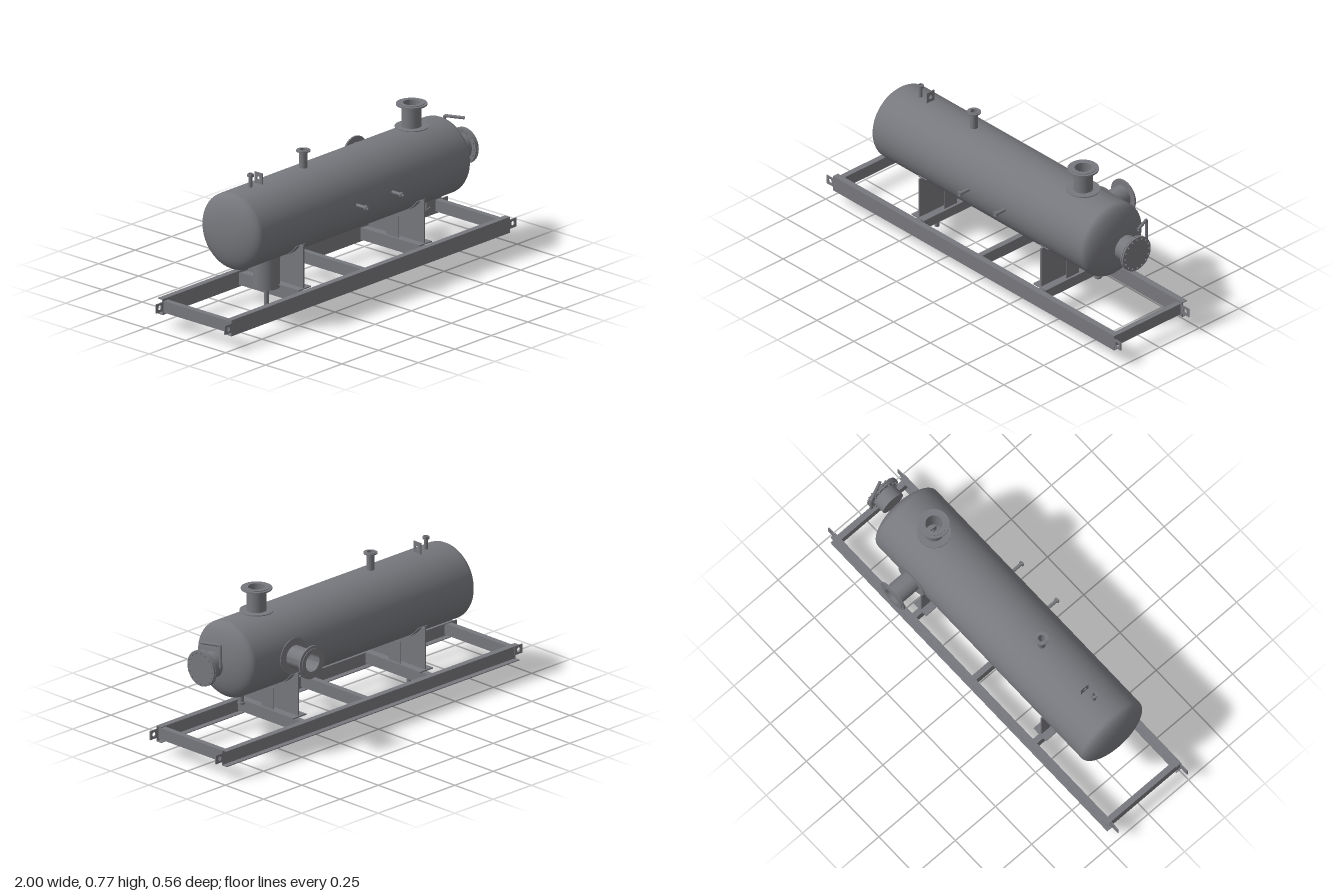
import * as THREE from 'three';
import { toCreasedNormals } from 'three/addons/utils/BufferGeometryUtils.js';

const AXIS_Y = 0.467, AXIS_Z = 0.032, R = 0.186;

export function createModel() {
  const root = new THREE.Group();
  root.name = 'separatorSkid';
  const steel = new THREE.MeshStandardMaterial({ color: 0x77787d, side: THREE.DoubleSide });
  steel.name = 'steelGrey';

  const add = (name, geo, x = 0, y = 0, z = 0, parent = root) => {
    const mesh = new THREE.Mesh(geo, steel);
    mesh.name = name;
    mesh.position.set(x, y, z);
    parent.add(mesh);
    return mesh;
  };
  const box = (name, w, h, d, x, y, z) => add(name, new THREE.BoxGeometry(w, h, d), x, y, z);
  const lathe = (pts, seg = 40) => toCreasedNormals(
    new THREE.LatheGeometry(pts.map(p => new THREE.Vector2(...p)), seg), 0.6);
  const UP = new THREE.Vector3(0, 1, 0);
  const aim = (mesh, dir) => mesh.quaternion.setFromUnitVectors(UP, new THREE.Vector3(...dir));
  const extrude = (shape, depth) =>
    new THREE.ExtrudeGeometry(shape, { depth, bevelEnabled: false, curveSegments: 24 });

  // Open flanged pipe, starting at pos and pointing along dir
  const nozzle = (name, pos, dir, r, len, fr, ft) => {
    const b = r * 0.86, lip = Math.min(0.003, ft * 0.3);
    const pts = [[r, 0], [r, len - ft], [fr, len - ft], [fr, len - lip],
      [(r + fr) / 2, len - lip], [(r + fr) / 2, len], [b, len], [b, 0]];
    aim(add(name, lathe(pts), ...pos), dir);
  };
  // Thin flat reinforcing ring around a pipe
  const collar = (name, pos, dir, inner, outer) =>
    aim(add(name, lathe([[inner, 0], [outer, 0], [outer, 0.004], [inner, 0.004], [inner, 0]], 48), ...pos), dir);

  // Vessel: straight shell with dished ends
  const profile = [];
  for (let i = 0; i <= 12; i++) {
    const a = (i / 12) * Math.PI / 2;
    profile.push([R * Math.sin(a), -0.705 - 0.068 * Math.cos(a)]);
  }
  for (let i = 12; i >= 0; i--) {
    const a = (i / 12) * Math.PI / 2;
    profile.push([R * Math.sin(a), 0.7 + 0.068 * Math.cos(a)]);
  }
  aim(add('vesselShell', lathe(profile, 72), 0, AXIS_Y, AXIS_Z), [1, 0, 0]);

  // Large nozzles on top and back with their collars
  nozzle('topNozzle', [0.515, 0.64, AXIS_Z], [0, 1, 0], 0.046, 0.133, 0.073, 0.01);
  collar('topCollar', [0.515, 0.655, AXIS_Z], [0, 1, 0], 0.046, 0.079);
  nozzle('backNozzle', [0.46, AXIS_Y, -0.14], [0, 0, -1], 0.052, 0.14, 0.081, 0.011);
  collar('backCollar', [0.46, AXIS_Y, -0.156], [0, 0, -1], 0.052, 0.088);

  // Small nozzles
  nozzle('ventNozzle', [-0.228, 0.645, AXIS_Z], [0, 1, 0], 0.019, 0.096, 0.033, 0.009);
  nozzle('gaugeNozzle', [-0.59, 0.645, AXIS_Z], [0, 1, 0], 0.009, 0.073, 0.016, 0.014);
  for (const x of [-0.063, 0.18])
    nozzle('sideNozzle', [x, AXIS_Y, 0.21], [0, 0, 1], 0.008, 0.072, 0.013, 0.012);
  nozzle('drainNozzle', [0.615, 0.29, AXIS_Z], [0, -1, 0], 0.012, 0.072, 0.018, 0.012);

  // Sump with base cap and drain pipe
  add('sump', new THREE.CylinderGeometry(0.0625, 0.0625, 0.175, 40), -0.48, 0.2225, AXIS_Z);
  add('sumpDrain', new THREE.CylinderGeometry(0.0115, 0.0115, 0.14, 20), -0.48, 0.07, AXIS_Z);

  // Manway neck, flange pair and ring of bolts
  const disc = (name, r, x0, x1) =>
    aim(add(name, new THREE.CylinderGeometry(r, r, x1 - x0, 48), (x0 + x1) / 2, AXIS_Y, AXIS_Z), [1, 0, 0]);
  disc('manwayNeck', 0.062, 0.797, 0.865);
  disc('manwayFlange', 0.087, 0.86, 0.869);
  disc('manwayCover', 0.087, 0.871, 0.88);
  for (let i = 0; i < 16; i++) {
    const a = (i / 16) * Math.PI * 2;
    aim(add('manwayBolt', new THREE.CylinderGeometry(0.0045, 0.0045, 0.034, 8), 0.87,
      AXIS_Y + 0.076 * Math.cos(a), AXIS_Z + 0.076 * Math.sin(a)), [1, 0, 0]);
  }

  // Davit arm that carries the cover
  const armPts = [[0.843, 0.487, -0.062], [0.843, 0.598, -0.062], [0.882, 0.598, 0.028]]
    .map(p => new THREE.Vector3(...p));
  const arm = new THREE.CurvePath();
  arm.add(new THREE.LineCurve3(armPts[0], armPts[1].clone().lerp(armPts[0], 0.08)));
  arm.add(new THREE.QuadraticBezierCurve3(armPts[1].clone().lerp(armPts[0], 0.08), armPts[1],
    armPts[1].clone().lerp(armPts[2], 0.08)));
  arm.add(new THREE.LineCurve3(armPts[1].clone().lerp(armPts[2], 0.08), armPts[2]));
  add('davitArm', new THREE.TubeGeometry(arm, 60, 0.0075, 12));

  // Rectangular plate with a round hole
  const lugPlate = (w, h, hole) => {
    const s = new THREE.Shape([[-w, -h], [w, -h], [w, h], [-w, h]].map(p => new THREE.Vector2(...p)));
    s.holes.push(new THREE.Path().absarc(0, 0, hole, 0, Math.PI * 2, true));
    return extrude(s, 0.005);
  };
  // Lifting lugs on top of the vessel
  for (const x of [-0.532, 0.518])
    add('liftingLug', lugPlate(0.024, 0.029, 0.01), x, 0.677, 0.027).rotation.y = Math.PI / 2;

  // Saddles: cradle web, stiffening plates, base and wear pad
  const cradle = new THREE.Shape();
  cradle.moveTo(-0.173, -0.315);
  cradle.lineTo(0.173, -0.315);
  cradle.lineTo(0.173, -0.11);
  cradle.absarc(0, 0, 0.187, -0.629, -Math.PI + 0.629, true);
  cradle.lineTo(-0.173, -0.11);
  for (const x of [-0.415, 0.413]) {
    add('saddleWeb', extrude(cradle, 0.008), x - 0.004, AXIS_Y, AXIS_Z).rotation.y = Math.PI / 2;
    for (const s of [-1, 1])
      box('saddleStiffener', 0.004, 0.108, 0.079, x + s * 0.029, 0.206, AXIS_Z);
    box('saddleBase', 0.086, 0.006, 0.36, x, 0.149, AXIS_Z);
    const pad = new THREE.Shape();
    pad.absarc(0, 0, 0.19, -0.629, -Math.PI + 0.629, true);
    pad.absarc(0, 0, 0.185, -Math.PI + 0.629, -0.629, false);
    add('saddlePad', extrude(pad, 0.06), x - 0.03, AXIS_Y, AXIS_Z).rotation.y = Math.PI / 2;
  }

  // Skid rails: channels whose flanges point to the back
  const t = 0.004, w = 0.031, h = 0.078;
  const channel = new THREE.Shape([[0, 0], [w, 0], [w, t], [t, t], [t, h - t], [w, h - t], [w, h], [0, h]]
    .map(p => new THREE.Vector2(...p)));
  for (const z of [0.246, -0.184]) {
    add('skidRail', extrude(channel, 1.91), -0.955, 0.067, z).rotation.y = Math.PI / 2;
    // Drilled pulling lugs at both rail ends
    for (const s of [-1, 1])
      add('pullingLug', lugPlate(0.025, 0.022, 0.011), s * 0.975, 0.108, z - 0.005);
  }

  // Cross beams between the rails
  for (const x of [-0.935, -0.42, 0, 0.413, 0.93])
    box('crossBeam', 0.029, 0.057, 0.428, x, 0.1065, 0.031);

  return root;
}
